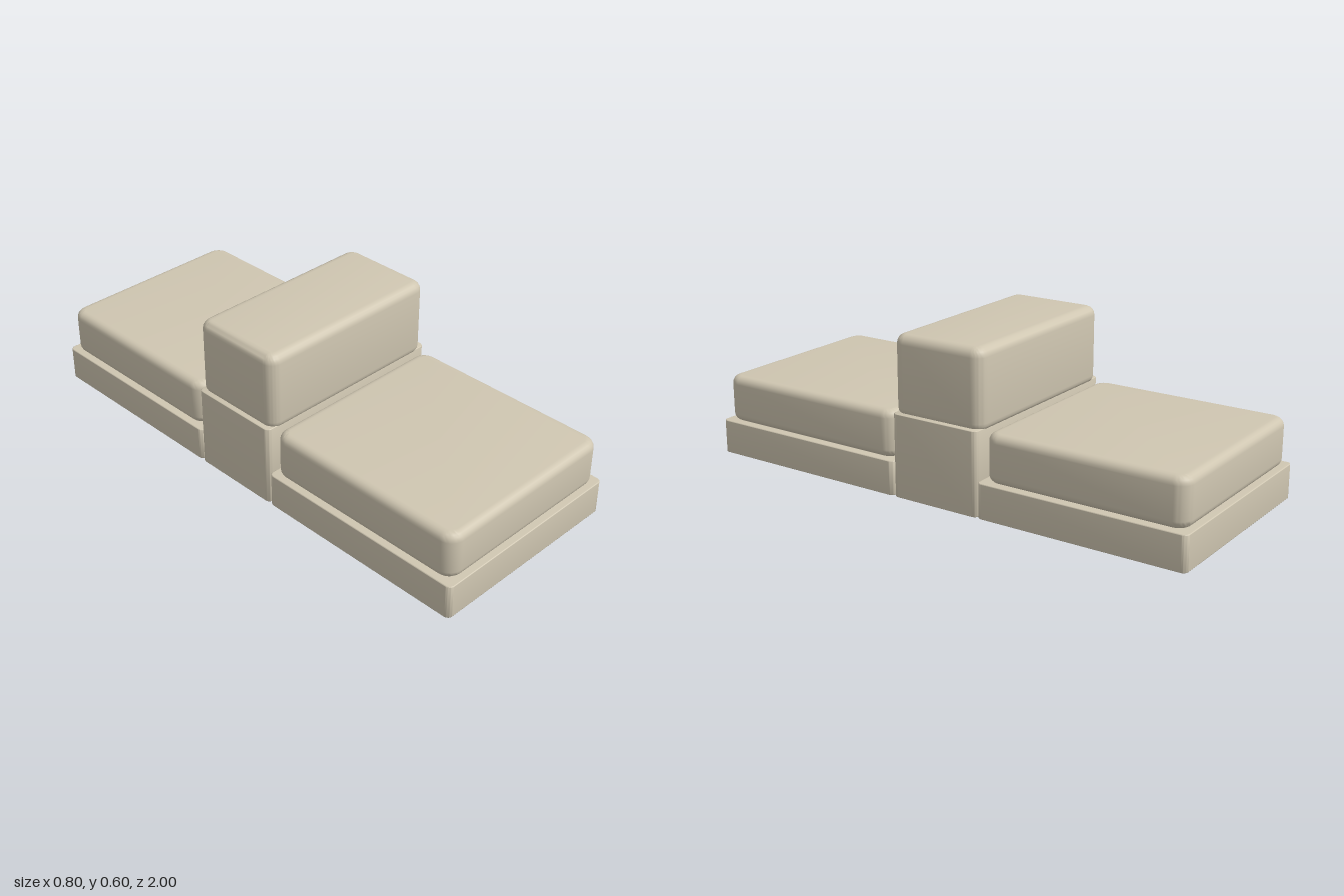
import * as THREE from 'three';
import { toCreasedNormals } from 'three/addons/utils/BufferGeometryUtils.js';

const upholstery = new THREE.MeshStandardMaterial({ color: 0xcfc6b1 });
upholstery.name = 'beige upholstery';

// Block with rounded plan corners (radius) and softened top and bottom edges (bevel)
function softBlock(name, [x0, x1], [y0, y1], [z0, z1], radius, bevel) {
  const a = (x1 - x0) / 2, b = (z1 - z0) / 2, r = radius;
  const shape = new THREE.Shape();
  shape.absarc(a - r, b - r, r, 0, Math.PI / 2);
  shape.absarc(-a + r, b - r, r, Math.PI / 2, Math.PI);
  shape.absarc(-a + r, -b + r, r, Math.PI, Math.PI * 1.5);
  shape.absarc(a - r, -b + r, r, Math.PI * 1.5, Math.PI * 2);
  const extruded = new THREE.ExtrudeGeometry(shape, {
    depth: y1 - y0 - 2 * bevel, curveSegments: 6,
    bevelThickness: bevel, bevelSize: bevel, bevelOffset: -bevel, bevelSegments: 5,
  });
  extruded.rotateX(-Math.PI / 2);
  extruded.translate((x0 + x1) / 2, y0 + bevel, (z0 + z1) / 2);
  const mesh = new THREE.Mesh(toCreasedNormals(extruded, 0.7), upholstery);
  mesh.name = name;
  return mesh;
}

export function createModel() {
  const sofa = new THREE.Group();
  sofa.name = 'doubleSidedSofa';
  const baseX = [-0.4, 0.4], cushionX = [-0.385, 0.383];

  // Low bases and the taller spine between them
  sofa.add(
    softBlock('frontBase', baseX, [0, 0.13], [0.165, 1], 0.02, 0.003),
    softBlock('backBase', baseX, [0, 0.13], [-1, -0.198], 0.02, 0.003),
    softBlock('centreBase', baseX, [0, 0.312], [-0.198, 0.163], 0.02, 0.003),
  );

  // Seat cushions on both sides and the shared backrest
  sofa.add(
    softBlock('frontSeatCushion', cushionX, [0.128, 0.307], [0.176, 0.985], 0.055, 0.03),
    softBlock('backSeatCushion', cushionX, [0.128, 0.307], [-0.985, -0.215], 0.055, 0.03),
    softBlock('backrestCushion', cushionX, [0.295, 0.595], [-0.205, 0.17], 0.045, 0.034),
  );
  return sofa;
}
